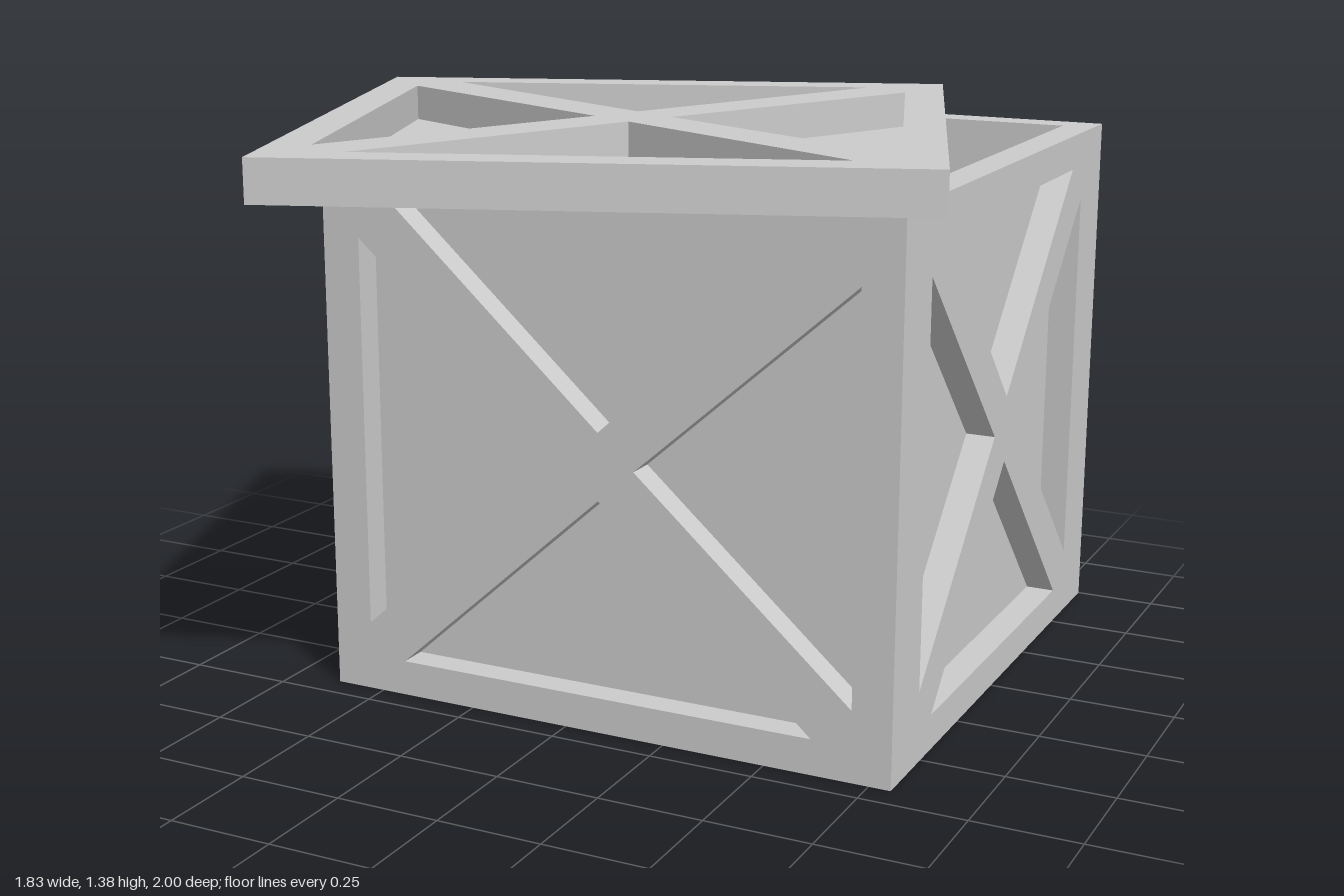
import * as THREE from 'three';
import { mergeGeometries } from 'three/addons/utils/BufferGeometryUtils.js';

const material = new THREE.MeshStandardMaterial({
  color: 0xcccccc, flatShading: true, side: THREE.DoubleSide,
});

// Flat four-cornered face, corners counter-clockwise from its front
function quad(a, b, c, d) {
  const g = new THREE.BufferGeometry();
  g.setAttribute('position', new THREE.Float32BufferAttribute([a, b, c, a, c, d].flat(), 3));
  g.computeVertexNormals();
  return g;
}

// Flat outline moved to depth z
function flat(shape, z) {
  const g = new THREE.ShapeGeometry(shape).toNonIndexed();
  g.deleteAttribute('uv');
  return g.translate(0, 0, z);
}

const toPath = (Type, pts) => new Type(pts.map(([x, y]) => new THREE.Vector2(x, y)));

// Cross-braced panel facing +z: w and h are half sizes, t the thickness,
// depth that of the four triangular recesses
function panel(name, w, h, t, depth, { ends = false, bottom = false, innerBottom = -h } = {}) {
  const face = toPath(THREE.Shape, [[-w, -h], [w, -h], [w, h], [-w, h]]);
  const parts = [];
  let tri = [[-0.735, -0.867], [0.735, -0.867], [0, -0.125]];
  for (let i = 0; i < 4; i++) {
    const pts = tri.map(([x, y]) => [x * w, y * h]);
    face.holes.push(toPath(THREE.Path, pts));
    parts.push(flat(toPath(THREE.Shape, pts), -depth));
    pts.forEach((p, k) => {
      const q = pts[(k + 1) % 3];
      parts.push(quad([...p, 0], [...q, 0], [...q, -depth], [...p, -depth]));
    });
    tri = tri.map(([x, y]) => [-y, x]); // next quarter turn
  }
  parts.push(flat(face, 0));
  // top edge and inner face
  parts.push(quad([-w, h, 0], [w, h, 0], [w, h, -t], [-w, h, -t]));
  parts.push(quad([w, innerBottom, -t], [-w, innerBottom, -t], [-w, h, -t], [w, h, -t]));
  if (ends) {
    parts.push(quad([w, -h, 0], [w, -h, -t], [w, h, -t], [w, h, 0]));
    parts.push(quad([-w, -h, -t], [-w, -h, 0], [-w, h, 0], [-w, h, -t]));
  }
  if (bottom) parts.push(quad([-w, -h, -t], [w, -h, -t], [w, -h, 0], [-w, -h, 0]));
  const mesh = new THREE.Mesh(mergeGeometries(parts), material);
  mesh.name = name;
  return mesh;
}

export function createModel() {
  const model = new THREE.Group();
  model.name = 'openCrate';

  // Crate body: front and back span the full width, sides fit between them
  const W = 0.714, D = 0.7175, H = 0.6375, T = 0.08, R = 0.07;
  const crate = new THREE.Group();
  crate.name = 'crate';
  crate.position.set(0.088, H, -1 + D);
  for (const s of [1, -1]) {
    const wall = panel(s > 0 ? 'frontWall' : 'backWall', W, H, T, R, { ends: true });
    wall.position.z = s * D;
    wall.rotation.y = s > 0 ? 0 : Math.PI;
    const side = panel(s > 0 ? 'leftWall' : 'rightWall', D - T, H, T, R, { innerBottom: T - H });
    side.position.x = s * W;
    side.rotation.y = s * Math.PI / 2;
    crate.add(wall, side);
  }

  // Raised floor
  const floor = new THREE.Mesh(new THREE.PlaneGeometry(2 * (W - T), 2 * (D - T)), material);
  floor.name = 'floor';
  floor.rotation.x = -Math.PI / 2;
  floor.position.y = T - H;
  crate.add(floor);

  // Lid lying twisted on top
  const lid = new THREE.Group();
  lid.name = 'lid';
  lid.position.set(0, 1.375, 0.084);
  lid.rotation.y = THREE.MathUtils.degToRad(20);
  const lidPanel = panel('lidPanel', 0.714, 0.714, 0.098, 0.085, { ends: true, bottom: true });
  lidPanel.rotation.x = -Math.PI / 2;
  lid.add(lidPanel);

  model.add(crate, lid);
  return model;
}
